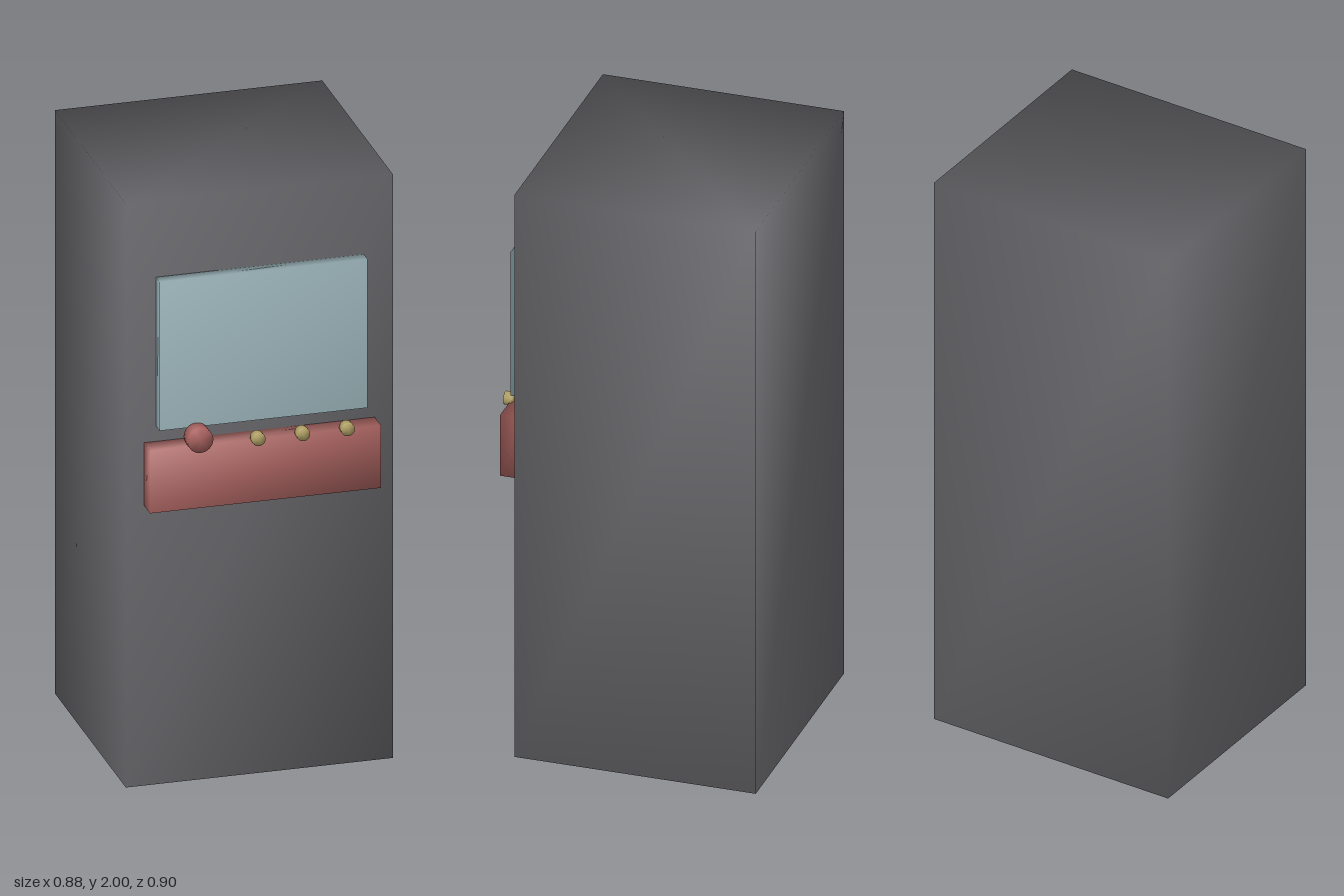
import * as THREE from 'three';
import { mergeVertices } from 'three/addons/utils/BufferGeometryUtils.js';

const paint = (color) => new THREE.MeshStandardMaterial({ color });

// Weld all corners so the shading runs smoothly around the edges
function weld(geometry) {
  geometry.deleteAttribute('normal');
  geometry.deleteAttribute('uv');
  const welded = mergeVertices(geometry, 1e-4);
  welded.computeVertexNormals();
  return welded;
}

// Box given by its extents on each axis
function box(name, [x0, x1], [y0, y1], [z0, z1], material) {
  const geometry = new THREE.BoxGeometry(x1 - x0, y1 - y0, z1 - z0);
  const mesh = new THREE.Mesh(weld(geometry), material);
  mesh.position.set((x0 + x1) / 2, (y0 + y1) / 2, (z0 + z1) / 2);
  mesh.name = name;
  return mesh;
}

// Short cylinder whose axis points to the front
function knob(name, x, y, [z0, z1], radius, material) {
  const geometry = new THREE.CylinderGeometry(radius, radius, z1 - z0, 24);
  geometry.rotateX(Math.PI / 2);
  const mesh = new THREE.Mesh(weld(geometry), material);
  mesh.position.set(x, y, (z0 + z1) / 2);
  mesh.name = name;
  return mesh;
}

export function createModel() {
  const group = new THREE.Group();
  group.name = 'arcadeCabinet';
  const dark = paint(0x68686c);
  const glass = paint(0x9db6bc);
  const red = paint(0xa8625f);
  const gold = paint(0xb0a066);

  // Body, screen and control panel
  group.add(box('cabinet', [-0.44, 0.44], [0, 2], [-0.452, 0.353], dark));
  group.add(box('screen', [-0.342, 0.342], [1.23, 1.74], [0.358, 0.4], glass));
  group.add(box('controlPanel', [-0.38, 0.38], [0.96, 1.175], [0.35, 0.422], red));

  // Joystick and a row of three buttons along the top of the panel
  group.add(knob('joystick', -0.222, 1.203, [0.403, 0.452], 0.042, red));
  [-0.027, 0.12, 0.267].forEach((x, i) => {
    group.add(knob(`button${i + 1}`, x, 1.18, [0.413, 0.442], 0.022, gold));
  });

  return group;
}
